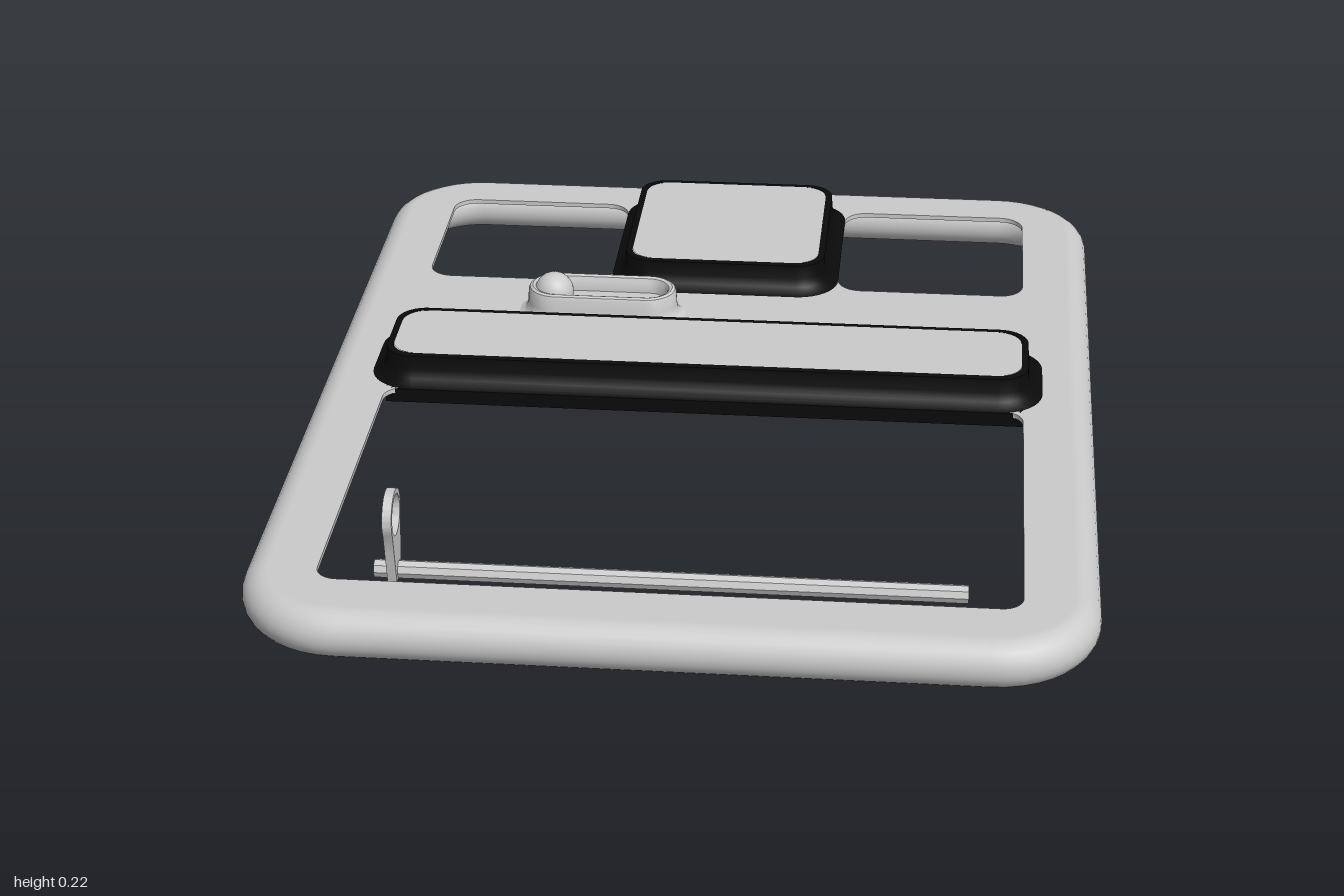
import * as THREE from 'three';
import { toCreasedNormals } from 'three/addons/utils/BufferGeometryUtils.js';

const grey = new THREE.MeshStandardMaterial({ color: 0xcccccc, side: THREE.DoubleSide });
const black = new THREE.MeshStandardMaterial({ color: 0x0a0a0a, side: THREE.DoubleSide });

// Outline of a rounded rectangle, counterclockwise seen from above
function outline(hw, hd, r, n = 10) {
  const pts = [];
  [[1, 1], [-1, 1], [-1, -1], [1, -1]].forEach(([sx, sy], q) => {
    for (let i = 0; i <= n; i++) {
      const a = (q + i / n) * Math.PI / 2;
      pts.push([sx * (hw - r) + r * Math.cos(a), sy * (hd - r) + r * Math.sin(a)]);
    }
  });
  return pts;
}

// Surface through rounded rectangles; profile rows are [inset, y]
function loft(hw, hd, r, profile, capped = false) {
  const pos = [], idx = [];
  let n = 0;
  for (const [inset, y] of profile) {
    const pts = outline(hw - inset, hd - inset, Math.max(r - inset, 0.004));
    n = pts.length;
    pts.forEach(([x, v]) => pos.push(x, y, -v));
  }
  for (let j = 0; j < profile.length - 1; j++) {
    for (let i = 0; i < n; i++) {
      const a = j * n + i, b = j * n + (i + 1) % n;
      idx.push(a, b, a + n, b, b + n, a + n);
    }
  }
  if (capped) {
    const base = (profile.length - 1) * n;
    pos.push(0, profile.at(-1)[1], 0);
    for (let i = 0; i < n; i++) idx.push(base + i, base + (i + 1) % n, base + n);
  }
  const g = new THREE.BufferGeometry();
  g.setAttribute('position', new THREE.Float32BufferAttribute(pos, 3));
  g.setIndex(idx);
  g.computeVertexNormals();
  return toCreasedNormals(g, 0.6);
}

function add(parent, name, geometry, material, x = 0, y = 0, z = 0) {
  const m = new THREE.Mesh(geometry, material);
  m.name = name;
  m.position.set(x, y, z);
  parent.add(m);
  return m;
}

// Hole outline for the plate, in plan (x, z) given by its bounds
function hole(x0, x1, z0, z1, r) {
  const cx = (x0 + x1) / 2, cz = (z0 + z1) / 2;
  return new THREE.Path(outline((x1 - x0) / 2, (z1 - z0) / 2, r)
    .map(([x, v]) => new THREE.Vector2(cx + x, v - cz)));
}

// Raised pad: flared black skirt with a grey top
function pad(parent, name, hw, hd, z) {
  const g = new THREE.Group();
  g.name = name;
  g.position.z = z;
  add(g, name + 'Skirt', loft(hw, hd, 0.09,
    [[0, 0.1], [0.012, 0.104], [0.022, 0.113], [0.029, 0.13], [0.031, 0.16], [0.045, 0.161]]), black);
  add(g, name + 'Top', loft(hw - 0.045, hd - 0.045, 0.05, [[0, 0.161]], true), grey);
  parent.add(g);
}

export function createModel() {
  const model = new THREE.Group();
  model.name = 'framePanel';

  // Round rim around the whole panel
  const rim = [];
  for (let i = 0; i <= 24; i++) {
    const t = i / 24 * Math.PI * 2;
    rim.push([0.05 - 0.05 * Math.cos(t), 0.05 + 0.05 * Math.sin(t)]);
  }
  add(model, 'rim', loft(0.8, 1, 0.2, rim), grey);

  // Thin top plate with windows and openings below the pads
  const shape = new THREE.Shape(outline(0.75, 0.95, 0.15).map(([x, v]) => new THREE.Vector2(x, v)));
  shape.holes.push(
    hole(-0.655, 0.655, 0.09, 0.855, 0.04),
    hole(-0.655, -0.25, -0.86, -0.45, 0.05),
    hole(0.25, 0.655, -0.86, -0.45, 0.05),
    hole(-0.65, 0.65, -0.15, 0.05, 0.05),
    hole(-0.205, 0.205, -0.86, -0.45, 0.05));
  const plate = new THREE.ExtrudeGeometry(shape, { depth: 0.01, bevelEnabled: false });
  plate.rotateX(-Math.PI / 2);
  add(model, 'plate', plate, grey, 0, 0.09, 0);

  // Pads and the dark lip on the edge of the large window
  pad(model, 'longPad', 0.695, 0.145, -0.05);
  pad(model, 'squarePad', 0.25, 0.25, -0.655);
  add(model, 'windowLip', new THREE.BoxGeometry(1.31, 0.03, 0.015), black, 0, 0.085, 0.088);

  // Slide switch: flared housing, sunken slot and round knob
  const slide = new THREE.Group();
  slide.name = 'slideSwitch';
  slide.position.set(-0.25, 0, -0.305);
  add(slide, 'switchHousing', loft(0.18, 0.083, 0.083,
    [[0, 0.1], [0.009, 0.103], [0.016, 0.112], [0.019, 0.125], [0.02, 0.15], [0.023, 0.157],
      [0.029, 0.16], [0.036, 0.157], [0.04, 0.15], [0.041, 0.125]], true), grey);
  add(slide, 'switchKnob', new THREE.SphereGeometry(0.042, 24, 16), grey, -0.105, 0.143, 0);
  model.add(slide);

  // Loose pin across the large window with a ring-shaped pull tab
  const pin = new THREE.Group();
  pin.name = 'pin';
  pin.position.set(0, 0.05, 0.73);
  const rod = new THREE.CylinderGeometry(0.018, 0.018, 1.12, 8);
  rod.rotateZ(Math.PI / 2);
  add(pin, 'pinRod', toCreasedNormals(rod, 0.5), grey, -0.005, 0, -0.003);
  const tab = new THREE.Shape();
  tab.moveTo(-0.022, -0.015);
  tab.lineTo(0.022, -0.015);
  tab.lineTo(0.036, 0.055);
  tab.absarc(0, 0.12, 0.05, -0.5, Math.PI + 0.5, false);
  tab.lineTo(-0.036, 0.055);
  tab.closePath();
  tab.holes.push(new THREE.Path().absarc(0, 0.12, 0.04, 0, Math.PI * 2, true));
  const tabGeo = new THREE.ExtrudeGeometry(tab, { depth: 0.018, bevelEnabled: false, curveSegments: 24 });
  tabGeo.rotateY(Math.PI / 2);
  add(pin, 'pinRing', toCreasedNormals(tabGeo, 0.5), grey, -0.537, 0, 0);
  model.add(pin);

  return model;
}
